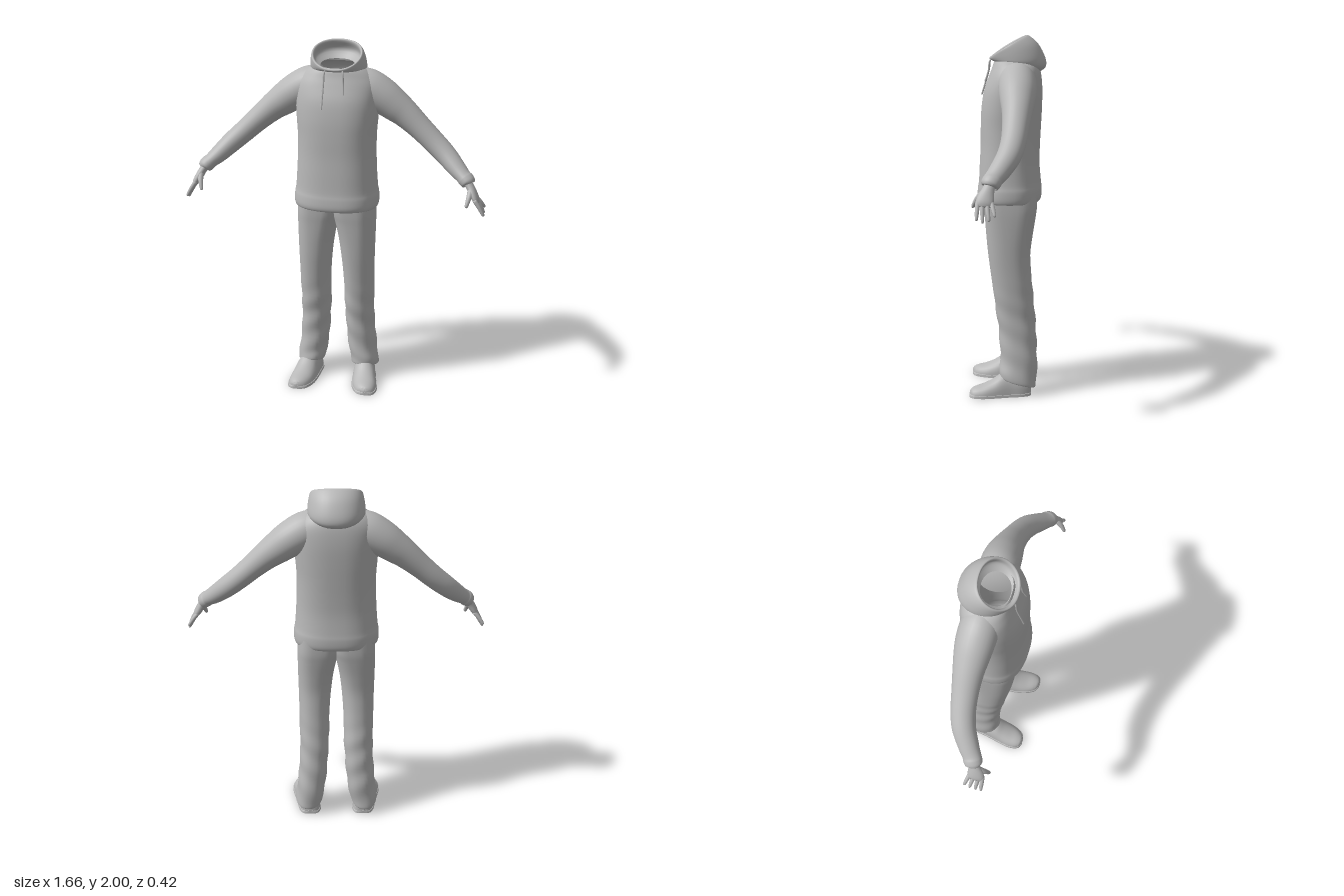
import * as THREE from 'three';
import { toCreasedNormals } from 'three/addons/utils/BufferGeometryUtils.js';

const V = (x, y, z) => new THREE.Vector3(x, y, z);
const grey = new THREE.MeshStandardMaterial({ color: 0xb8b8b8, side: THREE.DoubleSide });
grey.name = 'plain grey';

// Smoothly fills in rows between the given control rows (Catmull-Rom per column)
function smoothRows(rows, steps) {
  const out = [];
  const last = rows.length - 1;
  for (let i = 0; i < last; i++) {
    for (let k = 0; k < steps; k++) {
      const t = k / steps;
      out.push(rows[i].map((b, c) => {
        const a = rows[Math.max(i - 1, 0)][c], d = rows[i + 1][c], e = rows[Math.min(i + 2, last)][c];
        return b + 0.5 * t * (d - a + t * (2 * a - 5 * b + 4 * d - e + t * (3 * (b - d) + e - a)));
      }));
    }
  }
  out.push(rows[last]);
  return out;
}

// Skins a list of closed rings, with optional end caps
function loft(rings, capped = false) {
  const n = rings[0].length, pos = [], idx = [];
  rings.forEach(r => r.forEach(p => pos.push(p.x, p.y, p.z)));
  for (let i = 0; i < rings.length - 1; i++) {
    for (let j = 0; j < n; j++) {
      const a = i * n + j, b = i * n + (j + 1) % n;
      idx.push(a, b, b + n, a, b + n, a + n);
    }
  }
  if (capped) {
    [0, rings.length - 1].forEach((r, end) => {
      const c = rings[r].reduce((s, p) => s.add(p), V(0, 0, 0)).divideScalar(n);
      const m = pos.length / 3;
      pos.push(c.x, c.y, c.z);
      for (let j = 0; j < n; j++) {
        const a = r * n + j, b = r * n + (j + 1) % n;
        if (end) idx.push(m, a, b); else idx.push(m, b, a);
      }
    });
  }
  const g = new THREE.BufferGeometry();
  g.setAttribute('position', new THREE.Float32BufferAttribute(pos, 3));
  g.setIndex(idx);
  g.computeVertexNormals();
  return g;
}

const ring = (n, f) => Array.from({ length: n }, (_, j) => f(j / n * Math.PI * 2));
const pow = (v, e) => Math.sign(v) * Math.abs(v) ** e;

// Sweeps an oval along rows of [x, y, z, thickness, width across z]
function limb(rows, steps, sides) {
  const list = smoothRows(rows, steps);
  const pts = list.map(r => V(r[0], r[1], r[2]));
  const rings = list.map((r, i) => {
    const t = pts[Math.min(i + 1, pts.length - 1)].clone().sub(pts[Math.max(i - 1, 0)]).normalize();
    const s = V(0, 0, 1).addScaledVector(t, -t.z).normalize();
    const n = s.clone().cross(t);
    return ring(sides, a => pts[i].clone().addScaledVector(n, r[3] * Math.cos(a)).addScaledVector(s, r[4] * Math.sin(a)));
  });
  return loft(rings, true);
}

function mirrored(g) {
  const m = g.clone().scale(-1, 1, 1);
  const p = m.index ? m.index.array : Array.from({ length: m.attributes.position.count }, (_, i) => i);
  const idx = Array.from(p);
  for (let i = 0; i < idx.length; i += 3) [idx[i], idx[i + 1]] = [idx[i + 1], idx[i]];
  m.setIndex(idx);
  const nor = g.attributes.normal.clone();
  for (let i = 0; i < nor.count; i++) nor.setX(i, -nor.getX(i));
  m.setAttribute('normal', nor);
  return m;
}

export function createModel() {
  const model = new THREE.Group();
  model.name = 'clothedFigure';
  const add = (name, g) => {
    const m = new THREE.Mesh(g, grey);
    m.name = name;
    model.add(m);
  };
  const pair = (name, g) => {
    add('left' + name, g);
    add('right' + name, mirrored(g));
  };

  // Sweater body: y, half width, front z, back z
  const body = [
    [1.105, 0.21, 0.14, -0.16], [1.092, 0.228, 0.16, -0.176], [1.115, 0.236, 0.17, -0.187],
    [1.16, 0.235, 0.168, -0.189], [1.2, 0.228, 0.162, -0.184], [1.3, 0.221, 0.157, -0.176],
    [1.4, 0.217, 0.152, -0.178], [1.5, 0.217, 0.151, -0.183], [1.6, 0.224, 0.147, -0.188],
    [1.7, 0.228, 0.132, -0.19], [1.78, 0.222, 0.104, -0.184], [1.83, 0.19, 0.085, -0.172],
    [1.862, 0.15, 0.075, -0.15], [1.878, 0.115, 0.065, -0.125],
  ];
  add('sweaterBody', loft(smoothRows(body, 4).map(([y, w, f, b]) => ring(48, a => {
    const c = pow(Math.cos(a), 0.88), s = pow(Math.sin(a), 0.82);
    return V(w * s, y, (f + b) / 2 + (f - b) / 2 * c);
  }))));

  // Hood, outside up to the rim and back down inside: half width, front z, front y, back z, back y
  const hood = [
    [0.115, 0.06, 1.855, -0.14, 1.815], [0.135, 0.075, 1.86, -0.175, 1.805], [0.152, 0.09, 1.865, -0.208, 1.83],
    [0.153, 0.097, 1.868, -0.205, 1.88], [0.147, 0.102, 1.873, -0.165, 1.955], [0.138, 0.1, 1.88, -0.112, 2.0],
    [0.126, 0.088, 1.88, -0.102, 1.988], [0.122, 0.075, 1.865, -0.125, 1.94], [0.092, 0.058, 1.85, -0.095, 1.895],
  ];
  add('hood', loft(smoothRows(hood, 4).map(([w, zf, yf, zb, yb]) => ring(40, a => {
    const c = Math.cos(a), t = (1 + c) / 2;
    return V(w * pow(Math.sin(a), 0.9), yb + (yf - yb) * t + 0.008 * Math.sin(a) ** 2, zb + (zf - zb) * t);
  }))));

  // Drawstrings
  [[-1, 1.67, 0.147], [1, 1.75, 0.125]].forEach(([s, y, z]) => {
    const path = new THREE.CatmullRomCurve3([
      V(s * 0.046, 1.875, 0.088), V(s * 0.05, 1.862, 0.099), V(s * 0.053, 1.81, 0.106), V(s * 0.058, y, z),
    ]);
    add(s > 0 ? 'leftDrawstring' : 'rightDrawstring', new THREE.TubeGeometry(path, 16, 0.005, 6));
  });

  // Sleeves with a cuff
  pair('Sleeve', limb([
    [0.08, 1.785, -0.045, 0.085, 0.09], [0.16, 1.755, -0.052, 0.102, 0.103], [0.24, 1.71, -0.056, 0.098, 0.102],
    [0.31, 1.66, -0.056, 0.088, 0.092], [0.37, 1.615, -0.054, 0.077, 0.081], [0.45, 1.545, -0.047, 0.066, 0.071],
    [0.53, 1.472, -0.035, 0.061, 0.066], [0.6, 1.41, -0.012, 0.057, 0.063], [0.665, 1.35, 0.03, 0.049, 0.056],
    [0.705, 1.317, 0.06, 0.041, 0.05], [0.72, 1.304, 0.069, 0.043, 0.051], [0.737, 1.288, 0.08, 0.039, 0.047],
    [0.74, 1.284, 0.082, 0.028, 0.033],
  ], 4, 28));

  // Hands: palm, thumb and four fingers
  pair('Palm', limb([
    [0.72, 1.305, 0.073, 0.022, 0.03], [0.745, 1.27, 0.085, 0.022, 0.031], [0.765, 1.235, 0.097, 0.022, 0.042],
    [0.782, 1.205, 0.104, 0.018, 0.045], [0.791, 1.187, 0.106, 0.01, 0.036],
  ], 3, 16));
  pair('Thumb', limb([
    [0.75, 1.262, 0.1, 0.015, 0.016], [0.748, 1.235, 0.13, 0.015, 0.016], [0.741, 1.205, 0.152, 0.012, 0.012],
    [0.735, 1.182, 0.163, 0.009, 0.009], [0.733, 1.176, 0.165, 0.004, 0.004],
  ], 3, 10));
  [[0.07, 0.05, 1.145], [0.093, 0.08, 1.122], [0.117, 0.112, 1.114], [0.138, 0.143, 1.126]].forEach(([z0, z1, y], i) => {
    const at = (t, r) => [0.775 + 0.052 * t - 0.012 * t * t + 0.012 * t, 1.212 + (y - 1.212) * t, z0 + (z1 - z0) * t, r, r];
    pair('Finger' + (i + 1), limb([at(0, 0.012), at(0.4, 0.0115), at(0.75, 0.0095), at(0.95, 0.007), at(1, 0.003)], 3, 10));
  });

  // Trouser legs: y, inner x, outer x, front z, back z, lift of the front edge, squareness
  const leg = [
    [0.1, 0.105, 0.22, 0.02, -0.135, 0.03, 0.9], [0.076, 0.088, 0.236, 0.044, -0.158, 0.03, 0.9],
    [0.11, 0.078, 0.236, 0.047, -0.163, 0.02, 0.9], [0.19, 0.064, 0.226, 0.04, -0.166, 0, 0.9],
    [0.3, 0.053, 0.216, 0.044, -0.161, 0, 0.9], [0.4, 0.047, 0.21, 0.053, -0.154, 0, 0.9],
    [0.5, 0.042, 0.21, 0.068, -0.145, 0, 0.9], [0.6, 0.041, 0.212, 0.081, -0.135, 0, 0.9],
    [0.7, 0.036, 0.213, 0.095, -0.128, 0, 0.9], [0.8, 0.027, 0.215, 0.108, -0.126, 0, 0.88],
    [0.9, 0.014, 0.217, 0.118, -0.138, 0, 0.84], [1.0, -0.006, 0.218, 0.126, -0.154, 0, 0.76],
    [1.06, -0.02, 0.217, 0.131, -0.162, 0, 0.7], [1.14, -0.03, 0.213, 0.134, -0.164, 0, 0.68],
  ];
  [1, -1].forEach(side => {
    const g = loft(smoothRows(leg, 5).map(([y, xi, xo, f, b, lift, e]) => ring(36, a => {
      const c = pow(Math.cos(a), e), s = pow(Math.sin(a), e);
      // Soft folds that fade out above the knee
      const fold = 1 + 0.03 * Math.sin(y * 42 + 2 * a + side) * THREE.MathUtils.smoothstep(0.68 - y, 0, 0.25);
      return V((xi + xo) / 2 + (xo - xi) / 2 * s * fold, y + lift * Math.cos(a), (f + b) / 2 + (f - b) / 2 * c * fold);
    })));
    add(side > 0 ? 'leftTrouserLeg' : 'rightTrouserLeg', side > 0 ? g : mirrored(g));
  });

  // Shoes: z, centre x, half width, height
  const shoe = [
    [-0.132, 0.155, 0.018, 0.04], [-0.122, 0.155, 0.043, 0.085], [-0.08, 0.157, 0.06, 0.12],
    [-0.02, 0.163, 0.064, 0.13], [0.03, 0.17, 0.068, 0.125], [0.08, 0.178, 0.071, 0.092],
    [0.13, 0.187, 0.07, 0.068], [0.175, 0.195, 0.058, 0.055], [0.2, 0.199, 0.04, 0.044], [0.211, 0.201, 0.014, 0.03],
  ];
  const shoePart = (grow, top) => toCreasedNormals(loft(smoothRows(shoe, 4).map(([z, x, w, h]) => ring(28, a =>
    V(x + (w + grow) * Math.cos(a), Math.min(h, top) * Math.max(0, Math.sin(a)) ** (top < 0.1 ? 0.25 : 0.75), z * (1 + grow)))), true), 0.8);
  pair('Shoe', shoePart(0, 1));
  pair('Sole', shoePart(0.004, 0.02));

  return model;
}
